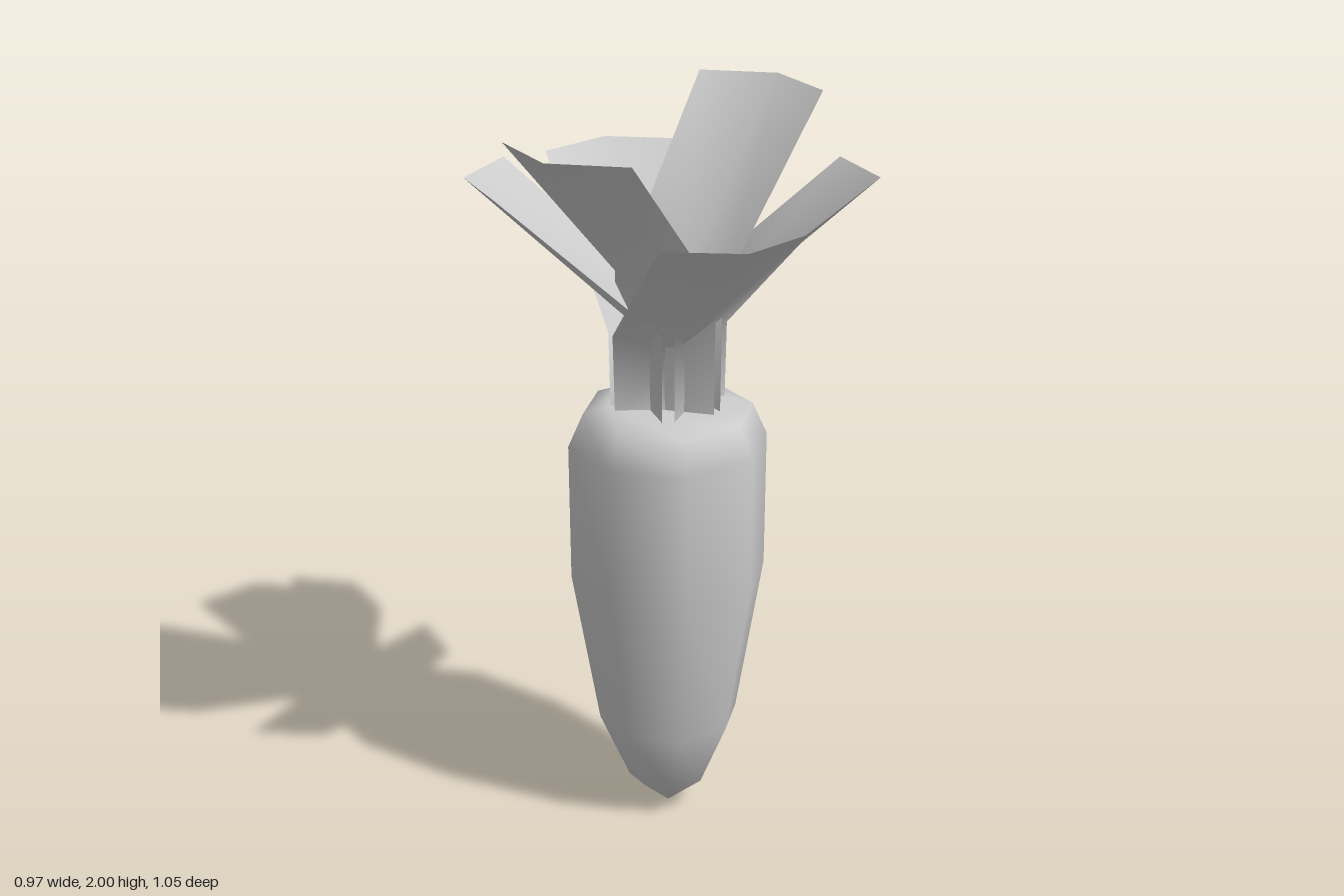
import * as THREE from 'three';

const material = () => new THREE.MeshStandardMaterial({ color: 0xcccccc, side: THREE.DoubleSide });

// Leaf folded along its midrib: upright stalk, then a blade leaning outward (+z).
// Each row holds: half width, edge y, edge z, midrib y, midrib z.
function leafGeometry(tipY, tipZ, bendY) {
  const rows = [
    [0.155, 1.2, 0.015, 1.2, 0.07],
    [0.16, bendY + 0.02, 0.015, bendY - 0.02, 0.07],
    [0.195, tipY, tipZ - 0.09, tipY, tipZ],
  ];
  const positions = [];
  const indices = [];
  rows.forEach(([w, ey, ez, my, mz], r) => {
    positions.push(-w, ey, ez, 0, my, mz, w, ey, ez);
    if (r === 0) return;
    for (let c = 0; c < 2; c++) {
      const a = (r - 1) * 3 + c;
      indices.push(a, a + 1, a + 4, a, a + 4, a + 3);
    }
  });
  const geometry = new THREE.BufferGeometry();
  geometry.setAttribute('position', new THREE.Float32BufferAttribute(positions, 3));
  geometry.setIndex(indices);
  geometry.computeVertexNormals();
  return geometry;
}

export function createModel() {
  const model = new THREE.Group();
  model.name = 'rootVegetable';

  // Tapered eight-sided root with a rounded shoulder
  const profile = [
    [0, 0.005], [0.11, 0.1], [0.192, 0.29], [0.267, 0.73],
    [0.27, 1.11], [0.23, 1.2], [0.16, 1.222], [0, 1.222],
  ].map(([r, y]) => new THREE.Vector2(r, y));
  const root = new THREE.Mesh(new THREE.LatheGeometry(profile, 8), material());
  root.name = 'root';
  model.add(root);

  // Six leaves around the crown: angle from the front, tip height, tip reach, bend height
  const leaves = new THREE.Group();
  leaves.name = 'leaves';
  [
    [0, 2, 0.525, 1.54],
    [55, 1.8, 0.548, 1.41],
    [125, 1.835, 0.545, 1.44],
    [180, 2, 0.525, 1.54],
    [-127, 1.8, 0.55, 1.41],
    [-56, 1.835, 0.525, 1.44],
  ].forEach(([angle, tipY, tipZ, bendY], i) => {
    const leaf = new THREE.Mesh(leafGeometry(tipY, tipZ, bendY), material());
    leaf.name = `leaf${i + 1}`;
    leaf.rotation.y = THREE.MathUtils.degToRad(angle);
    leaves.add(leaf);
  });
  model.add(leaves);

  for (const part of model.children) part.position.x = -0.005;
  return model;
}
